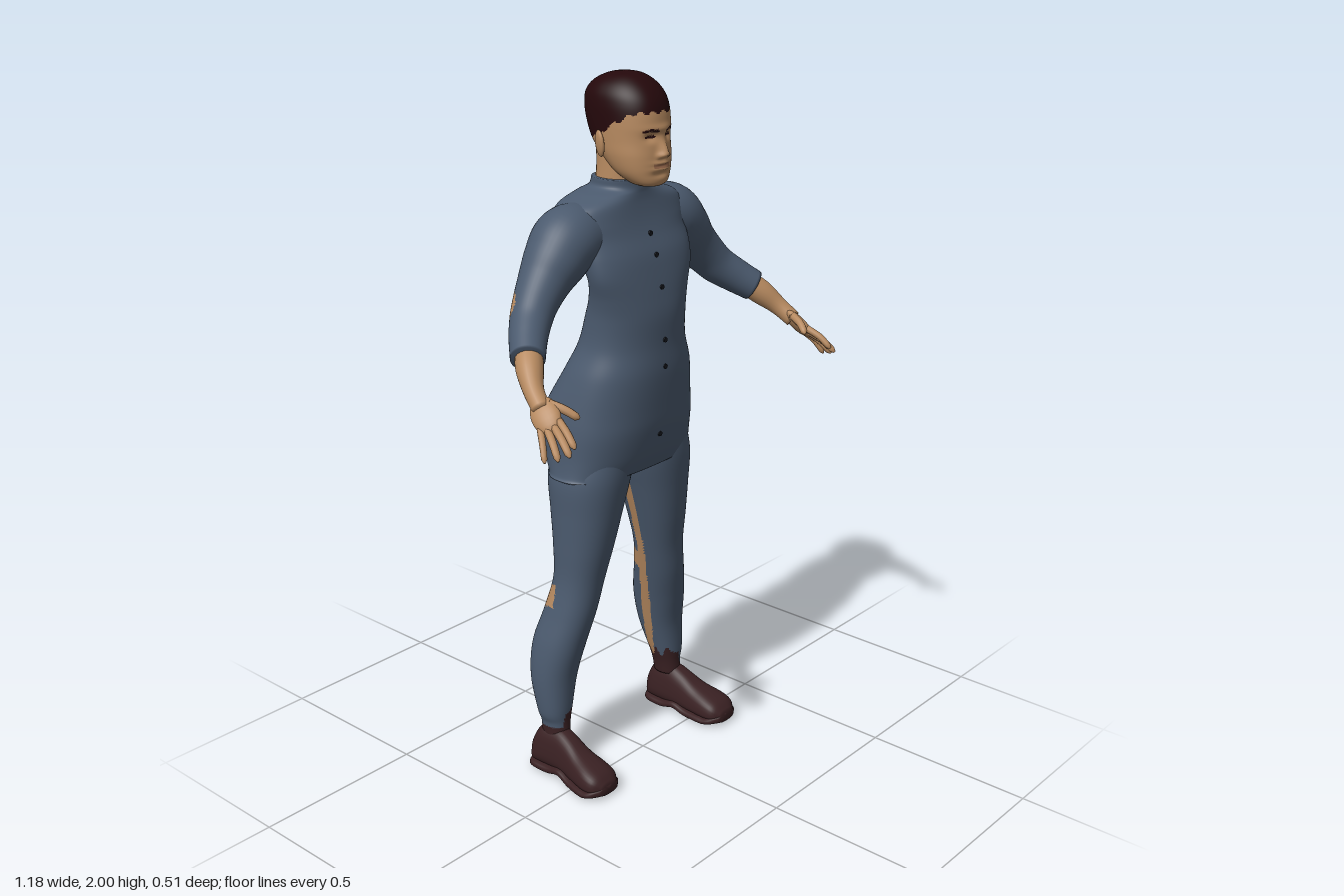
import * as THREE from 'three';

const mat = (name, color) => Object.assign(new THREE.MeshStandardMaterial({ color }), { name });
const V = (x, y, z) => new THREE.Vector3(x, y, z);
const spow = (v, e) => Math.sign(v) * Math.pow(Math.abs(v), e);
const bump = (d, w) => Math.exp(-((d / w) ** 2));

// Closed surface from rings: f(t, angle) gives the points, both ends are capped.
function skin(rows, cols, f) {
  const pos = [], idx = [];
  const ends = [V(0, 0, 0), V(0, 0, 0)];
  for (let i = 0; i <= rows; i++) {
    for (let j = 0; j < cols; j++) {
      const p = f(i / rows, (j / cols) * Math.PI * 2);
      pos.push(p.x, p.y, p.z);
      if (i === 0) ends[0].addScaledVector(p, 1 / cols);
      if (i === rows) ends[1].addScaledVector(p, 1 / cols);
    }
  }
  for (const e of ends) pos.push(e.x, e.y, e.z);
  const last = rows * cols, tip = last + cols;
  for (let j = 0; j < cols; j++) {
    const k = (j + 1) % cols;
    for (let i = 0; i < rows; i++) {
      const a = i * cols + j, b = i * cols + k;
      idx.push(a, a + cols, b, b, a + cols, b + cols);
    }
    idx.push(tip, j, k, tip + 1, last + k, last + j);
  }
  const g = new THREE.BufferGeometry();
  g.setAttribute('position', new THREE.Float32BufferAttribute(pos, 3));
  g.setIndex(idx);
  g.computeVertexNormals();
  return g;
}

// Upright loft; each section is [y, xMin, xMax, zFront, zBack, squareness].
function loft(sections, rows, cols, tweak = (p) => p) {
  const c1 = new THREE.CatmullRomCurve3(sections.map((s) => V(s[0], s[1], s[2])), false, 'catmullrom');
  const c2 = new THREE.CatmullRomCurve3(sections.map((s) => V(s[3], s[4], s[5] || 2.2)), false, 'catmullrom');
  return skin(rows, cols, (t, a) => {
    const p = c1.getPoint(t), q = c2.getPoint(t), e = 2 / q.z;
    return tweak(V((p.y + p.z) / 2 + ((p.z - p.y) / 2) * spow(Math.cos(a), e), p.x,
      (q.x + q.y) / 2 + ((q.x - q.y) / 2) * spow(Math.sin(a), e)));
  });
}

// Round limb along points [x, y, z, radius].
function limb(pts, rows = 10, cols = 12) {
  const path = new THREE.CatmullRomCurve3(pts.map((p) => V(p[0], p[1], p[2])), false, 'catmullrom');
  const rad = new THREE.CatmullRomCurve3(pts.map((p) => V(p[3], 0, 0)), false, 'catmullrom');
  const fr = path.computeFrenetFrames(rows);
  return skin(rows, cols, (u, a) => {
    const i = Math.round(u * rows), t = path.getUtoTmapping(u), r = rad.getPoint(t).x;
    return path.getPoint(t).addScaledVector(fr.normals[i], r * Math.cos(a)).addScaledVector(fr.binormals[i], -r * Math.sin(a));
  });
}

// Sorts triangles into material groups by a rule on their centres.
function paint(g, pick) {
  const p = g.attributes.position, src = g.index.array, bins = [];
  for (let i = 0; i < src.length; i += 3) {
    const c = V(0, 0, 0);
    for (let k = 0; k < 3; k++) c.add(V(p.getX(src[i + k]), p.getY(src[i + k]), p.getZ(src[i + k])));
    c.divideScalar(3);
    (bins[pick(c.x, c.y, c.z)] ??= []).push(src[i], src[i + 1], src[i + 2]);
  }
  const idx = [];
  bins.forEach((b, m) => { g.addGroup(idx.length, b.length, m); for (const v of b) idx.push(v); });
  g.setIndex(idx);
  return g;
}

function mirrored(g) {
  const m = g.clone().scale(-1, 1, 1), a = m.index.array;
  for (let i = 0; i < a.length; i += 3) [a[i], a[i + 1]] = [a[i + 1], a[i]];
  return m;
}

export function createModel() {
  const model = new THREE.Group();
  model.name = 'figure';
  const cloth = mat('blue cloth', 0x4b5a6e), flesh = mat('skin', 0xb78a60), hair = mat('dark hair', 0x24080b);
  const leather = mat('brown leather', 0x3a2123), lip = mat('lips', 0x94664a), dark = mat('button black', 0x14161c);
  const add = (name, geo, m) => {
    const mesh = new THREE.Mesh(geo, m);
    mesh.name = name;
    model.add(mesh);
  };
  const pair = (name, geo, m) => { add('left' + name, geo, m); add('right' + name, mirrored(geo), m); };
  const even = (y, w, f, b, e) => [y, -w, w, f, b, e];

  // Tunic with rounded seat, open back seam and bare patch under the shoulders
  const torso = loft([
    even(0.913, 0.25, 0.03, -0.2, 2.5), even(0.925, 0.243, 0.035, -0.21, 2.5), even(0.97, 0.237, 0.05, -0.24, 2.5),
    even(1.04, 0.232, 0.065, -0.262, 2.5), even(1.1, 0.222, 0.072, -0.25, 2.4), even(1.2, 0.197, 0.08, -0.195, 2.3),
    even(1.28, 0.168, 0.078, -0.158), even(1.36, 0.163, 0.078, -0.13), even(1.42, 0.17, 0.07, -0.1, 2.3),
    even(1.48, 0.187, 0.058, -0.08, 2.4), even(1.53, 0.196, 0.045, -0.108, 2.6), even(1.58, 0.203, 0.025, -0.162, 2.8),
    even(1.62, 0.208, 0.012, -0.184, 3), even(1.66, 0.195, 0.003, -0.187, 2.8), even(1.685, 0.135, 0, -0.177, 2.4),
    even(1.7, 0.088, 0, -0.16), even(1.725, 0.082, 0, -0.15),
  ], 110, 128, (p) => {
    if (p.z < -0.1) p.z += 0.055 * bump(p.x, 0.025) * bump(p.y - 1.03, 0.13);
    return p;
  });
  add('tunic', paint(torso, (x, y, z) => {
    if (z > -0.05) return 0;
    const seam = Math.abs(x) < 0.008 + 0.016 * Math.min(1, Math.max(0, (y - 1) / 0.25)) && y > 0.95;
    const patch = y > 1.475 + 0.008 * Math.sin(x * 90) && y < 1.572 + 0.01 * Math.sin(x * 70) && Math.abs(x) < 0.17;
    return seam || patch ? 1 : 0;
  }), [cloth, flesh]);

  // Front buttons
  for (const [y, z] of [[1.58, 0.026], [1.525, 0.047], [1.44, 0.067], [1.295, 0.079], [1.22, 0.08], [1.02, 0.062]]) {
    add('button', new THREE.CylinderGeometry(0.007, 0.007, 0.006, 12).rotateX(Math.PI / 2).translate(0, y, z), dark);
  }

  // Neck and head, with the features pressed into the face
  add('neck', loft([even(1.68, 0.074, -0.01, -0.145), even(1.76, 0.07, -0.012, -0.137), even(1.84, 0.07, -0.02, -0.14)], 8, 32), flesh);
  const head = loft([
    even(1.712, 0.035, 0.055, -0.01), even(1.722, 0.055, 0.064, -0.03), even(1.75, 0.076, 0.067, -0.075),
    even(1.79, 0.088, 0.067, -0.115), even(1.83, 0.092, 0.065, -0.15), even(1.88, 0.094, 0.066, -0.17),
    even(1.92, 0.093, 0.06, -0.176), even(1.95, 0.086, 0.045, -0.17), even(1.975, 0.068, 0.02, -0.147),
    even(1.993, 0.04, -0.012, -0.108), even(2, 0.008, -0.05, -0.066),
  ], 100, 112, (p) => {
    if (p.z < 0) return p;
    const x = Math.abs(p.x), y = p.y;
    p.z += 0.021 * bump(p.x, 0.014) * bump(y - 1.798, y > 1.798 ? 0.032 : 0.01);
    p.z += 0.009 * bump(x - 0.014, 0.008) * bump(y - 1.794, 0.008);
    p.z -= 0.01 * bump(x - 0.034, 0.016) * bump(y - 1.843, 0.012);
    p.z += 0.005 * bump(p.x, 0.05) * bump(y - 1.863, 0.01);
    p.z += 0.009 * bump(p.x, 0.026) * (bump(y - 1.775, 0.006) + bump(y - 1.759, 0.006));
    p.z -= 0.005 * bump(p.x, 0.03) * bump(y - 1.744, 0.008);
    return p;
  });
  add('head', paint(head, (x, y, z) => {
    const line = 1.905 - 0.085 * Math.min(1, Math.max(0, (0.03 - z) / 0.15));
    if (y > line + 0.005 * Math.sin(x * 160 + z * 110)) return 1;
    if (z < 0.02) return 0;
    const ax = Math.abs(x);
    if (ax > 0.014 && ax < 0.056 && Math.abs(y - 1.861 + Math.abs(ax - 0.036) * 0.15) < 0.0035) return 1;
    if (((ax - 0.034) / 0.014) ** 2 + ((y - 1.843) / 0.0045) ** 2 < 1) return 1;
    return Math.abs(y - 1.767) < 0.006 && ax < 0.03 ? 2 : 0;
  }), [flesh, hair, lip]);
  pair('Ear', new THREE.SphereGeometry(1, 16, 12).scale(0.009, 0.036, 0.022).rotateY(0.4).rotateZ(-0.12).translate(0.098, 1.822, -0.064), flesh);

  // Sleeves with worn elbows, and bare forearms
  const sleeve = limb([
    [0.12, 1.585, -0.09, 0.085], [0.2, 1.578, -0.088, 0.093], [0.255, 1.535, -0.083, 0.084], [0.3, 1.49, -0.078, 0.07],
    [0.345, 1.445, -0.066, 0.06], [0.38, 1.408, -0.05, 0.055], [0.42, 1.375, -0.02, 0.05], [0.463, 1.34, 0.02, 0.045],
  ], 60, 40);
  pair('Sleeve', paint(sleeve, (x, y, z) => (V(x, y, z).distanceTo(V(0.38, 1.425, -0.105)) < 0.05 ? 1 : 0)), [cloth, flesh]);
  pair('Forearm', limb([[0.43, 1.367, -0.01, 0.036], [0.475, 1.322, 0.038, 0.036], [0.505, 1.282, 0.08, 0.027], [0.522, 1.245, 0.125, 0.024]], 20, 20), flesh);

  // Hands: flat palm, four fingers and a thumb
  const palm = V(0.525, 1.235, 0.14), d = V(0.27, -0.63, 0.72).normalize();
  const n = d.clone().cross(V(-0.05, 0.035, 0.06)).normalize(), w = n.clone().cross(d);
  const basis = new THREE.Matrix4().makeBasis(d, w, n).setPosition(palm);
  pair('Palm', new THREE.SphereGeometry(1, 20, 14).scale(0.055, 0.038, 0.018).applyMatrix4(basis), flesh);
  const finger = (name, along, across, tip, r) => {
    const a = palm.clone().addScaledVector(d, along).addScaledVector(w, across), b = V(...tip);
    const m = a.clone().lerp(b, 0.5).addScaledVector(V(0.3, 0.8, 0.4), 0.006), e = m.clone().lerp(b, 0.85);
    pair(name, limb([[...a, r], [...m, r * 0.95], [...e, r * 0.8], [...b, r * 0.3]], 10, 10), flesh);
  };
  finger('IndexFinger', 0.03, 0.026, [0.537, 1.178, 0.25], 0.0105);
  finger('MiddleFinger', 0.035, 0.009, [0.557, 1.162, 0.252], 0.011);
  finger('RingFinger', 0.033, -0.009, [0.573, 1.15, 0.228], 0.0105);
  finger('LittleFinger', 0.026, -0.025, [0.585, 1.14, 0.193], 0.009);
  finger('Thumb', -0.025, 0.02, [0.472, 1.228, 0.205], 0.012);

  // Trousers with an open inner seam, torn knee backs and dark ankles
  const leg = loft([
    [0.12, 0.215, 0.285, -0.075, -0.16], [0.16, 0.208, 0.287, -0.077, -0.163], [0.2, 0.197, 0.298, -0.075, -0.172],
    [0.3, 0.17, 0.302, -0.07, -0.2], [0.4, 0.147, 0.29, -0.05, -0.205], [0.5, 0.124, 0.263, -0.03, -0.182],
    [0.6, 0.1, 0.243, -0.018, -0.162], [0.7, 0.073, 0.24, 0, -0.17], [0.8, 0.045, 0.24, 0.015, -0.185],
    [0.9, 0.016, 0.24, 0.028, -0.2], [0.98, 0.005, 0.22, 0.03, -0.2],
  ], 100, 64);
  pair('TrouserLeg', paint(leg, (x, y, z) => {
    const inner = x < 0.29 - 0.19 * y, zc = y > 0.6 ? -0.1 : -0.1 - (0.6 - y) * 0.1;
    if (y < (inner ? 0.2 + 0.015 * Math.sin(z * 200) : 0.15)) return 2;
    if (inner && Math.abs(z - zc) < 0.015) return 1;
    return z < -0.115 && y > 0.515 + 0.006 * Math.sin(x * 150) && y < 0.572 + 0.014 * Math.sin(x * 110) ? 1 : 0;
  }), [cloth, flesh, leather]);

  // Shoes: sections run heel to toe as [z, centre x, half width, height]
  const lasts = [
    [-0.188, 0.258, 0.022, 0.06], [-0.178, 0.258, 0.04, 0.1], [-0.15, 0.256, 0.049, 0.138], [-0.09, 0.255, 0.05, 0.142],
    [-0.045, 0.258, 0.052, 0.125], [0, 0.263, 0.058, 0.1], [0.05, 0.268, 0.064, 0.083], [0.085, 0.269, 0.057, 0.068], [0.108, 0.268, 0.03, 0.045],
  ];
  const shoe = (base, grow, height) => {
    const c1 = new THREE.CatmullRomCurve3(lasts.map((l) => V(l[1], l[2] + grow, l[0])), false, 'catmullrom');
    const c2 = new THREE.CatmullRomCurve3(lasts.map((l) => V(height || l[3], 0, 0)), false, 'catmullrom');
    return skin(36, 32, (t, a) => {
      const p = c1.getPoint(t), h = c2.getPoint(t).x - base, s = -spow(Math.sin(a), 0.7);
      const taper = height ? 1 : 1 - 0.16 * (s + 1) * Math.min(1, h / 0.1);
      const lift = 0.012 * bump(p.z + 0.06, 0.03) + 0.012 * Math.max(0, (p.z - 0.06) / 0.05);
      return V(p.x + p.y * taper * spow(Math.cos(a), 0.75), base + h * (s + 1) / 2 + (height ? lift : 0), p.z);
    });
  };
  pair('Shoe', shoe(0.012, 0, 0), leather);
  pair('Sole', paint(shoe(0, 0.004, 0.028), (x, y, z) => (y < 0.01 && Math.abs(x - 0.265) < 0.035 && z > -0.02 && z < 0.08 ? 1 : 0)), [leather, flesh]);

  return model;
}
